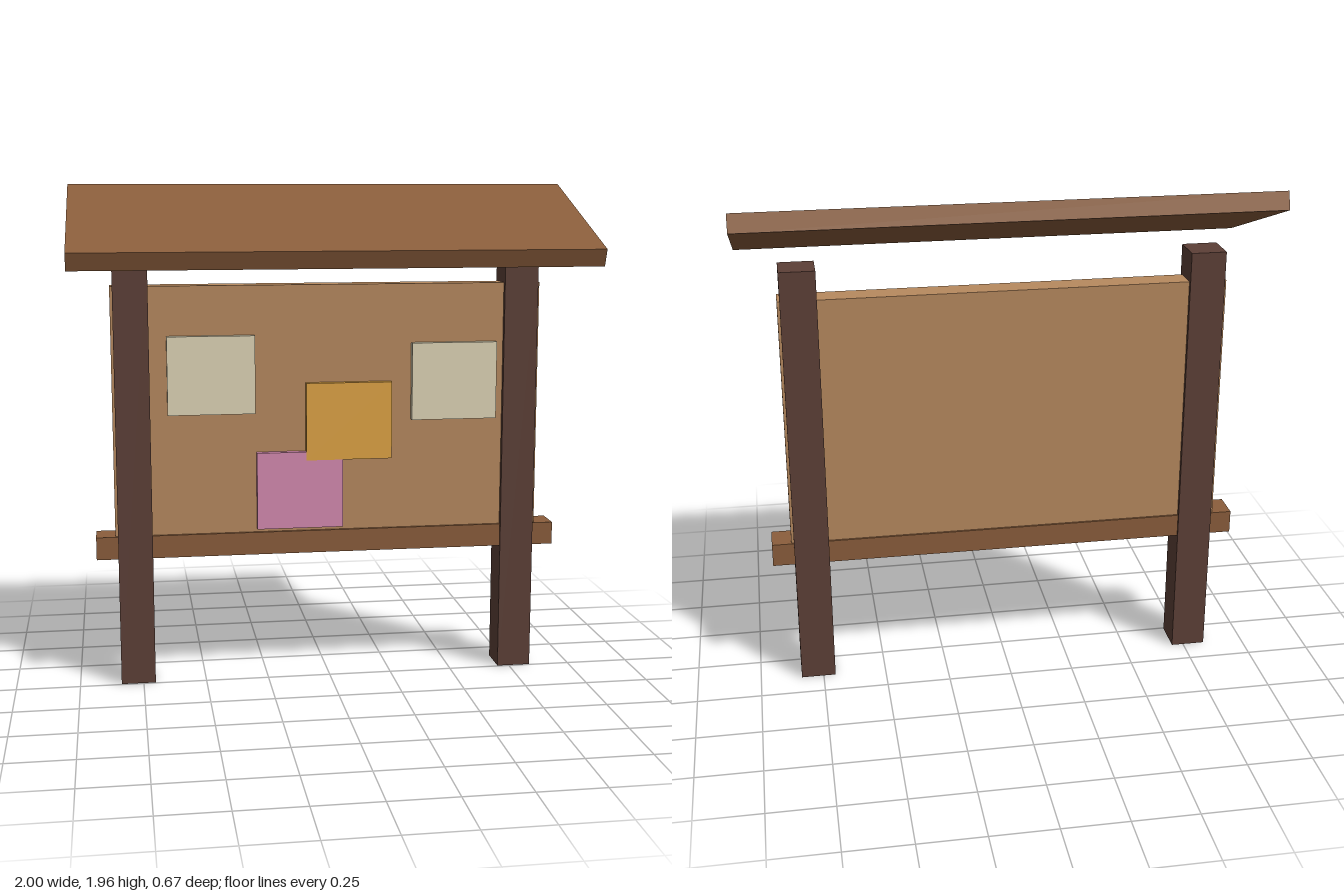
import * as THREE from 'three';

const mat = (name, color) => {
  const m = new THREE.MeshStandardMaterial({ color });
  m.name = name;
  return m;
};

export function createModel() {
  const group = new THREE.Group();
  group.name = 'noticeBoard';

  const darkWood = mat('dark post wood', 0x5d4037);
  const midWood = mat('mid brown wood', 0x8b5e3c);
  const boardWood = mat('light board wood', 0xb88a5f);
  const cream = mat('cream paper', 0xe0d6b8);
  const amber = mat('amber paper', 0xe0a545);
  const pink = mat('pink paper', 0xd68bb1);

  const box = (name, material, size, position) => {
    const mesh = new THREE.Mesh(new THREE.BoxGeometry(...size), material);
    mesh.name = name;
    mesh.position.set(...position);
    group.add(mesh);
    return mesh;
  };

  const midZ = -0.073; // shared centre plane of posts, board and rail

  // Two square posts
  for (const [name, side] of [['leftPost', 1], ['rightPost', -1]]) {
    box(name, darkWood, [0.135, 1.695, 0.135], [side * 0.77, 0.8475, midZ]);
  }

  // Board and the rail it rests on
  box('board', boardWood, [1.695, 0.98, 0.098], [0, 1.09, midZ - 0.002]);
  box('bottomRail', midWood, [1.845, 0.09, 0.118], [0, 0.555, midZ]);

  // Sloping roof plank, low at the front
  box('roof', midWood, [2, 0.07, 0.693], [0, 1.812, 0]).rotation.x = 0.35;

  // Pinned papers; the amber one overlaps the pink one
  const papers = [
    ['creamNoteRight', cream, -0.464, 1.233, 0],
    ['creamNoteLeft', cream, 0.501, 1.194, 0],
    ['amberNote', amber, 0.078, 1.042, 0.001],
    ['pinkNote', pink, -0.118, 0.769, 0],
  ];
  for (const [name, material, x, y, lift] of papers) {
    box(name, material, [0.342, 0.307, 0.03], [x, y, -0.013 + lift]);
  }

  return group;
}
